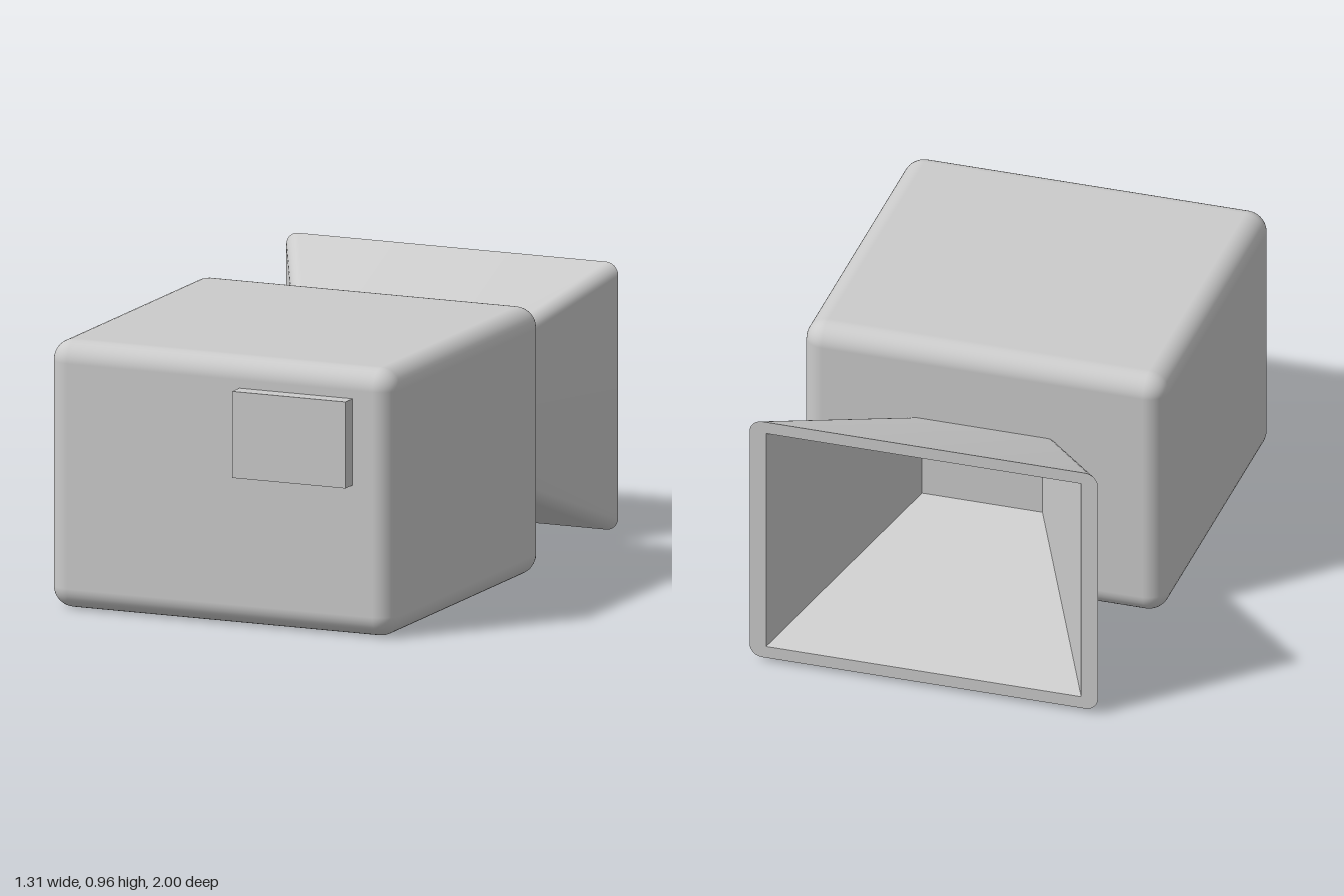
import * as THREE from 'three';
import { RoundedBoxGeometry } from 'three/addons/geometries/RoundedBoxGeometry.js';
import { toCreasedNormals } from 'three/addons/utils/BufferGeometryUtils.js';

// Counter-clockwise rectangle outline with rounded corners (r = 0 gives four points)
function outline(halfW, y0, y1, r = 0, steps = 6) {
  const points = [];
  const corners = [[1, y1 - r], [-1, y1 - r], [-1, y0 + r], [1, y0 + r]];
  corners.forEach(([side, cy], i) => {
    for (let k = 0; k <= (r ? steps : 0); k++) {
      const a = (i + (r ? k / steps : 0)) * Math.PI / 2;
      points.push(new THREE.Vector2(side * (halfW - r) + r * Math.cos(a), cy + r * Math.sin(a)));
    }
  });
  return points;
}

// Walls joining outline a at depth za to outline b at depth zb (outward when za < zb)
function loft(a, za, b, zb) {
  const n = a.length;
  const position = [...a.map(p => [p.x, p.y, za]), ...b.map(p => [p.x, p.y, zb])].flat();
  const index = [];
  for (let i = 0; i < n; i++) {
    const j = (i + 1) % n;
    index.push(i, j, n + j, i, n + j, n + i);
  }
  const geometry = new THREE.BufferGeometry();
  geometry.setAttribute('position', new THREE.Float32BufferAttribute(position, 3));
  geometry.setIndex(index);
  return toCreasedNormals(geometry, 0.6);
}

export function createModel() {
  const model = new THREE.Group();
  const grey = new THREE.MeshStandardMaterial({ color: 0xcccccc });
  const doubleGrey = new THREE.MeshStandardMaterial({ color: 0xcccccc, side: THREE.DoubleSide });
  const add = (parent, name, geometry, material = grey) => {
    const mesh = new THREE.Mesh(geometry, material);
    mesh.name = name;
    parent.add(mesh);
    return mesh;
  };

  // Rounded main body
  add(model, 'body', new RoundedBoxGeometry(1.31, 0.945, 1.26, 5, 0.075))
    .position.set(0, 0.4725, 0.31);

  // Small raised plate on the front
  add(model, 'frontPlate', new THREE.BoxGeometry(0.43, 0.305, 0.08))
    .position.set(0.29, 0.688, 0.96);

  // Hollow flared horn behind the body
  const horn = new THREE.Group();
  horn.name = 'horn';
  model.add(horn);
  const mouthOuter = outline(0.63, 0.015, 0.96, 0.045);
  const neckOuter = outline(0.273, 0.34, 0.65, 0.04);
  const mouthInner = outline(0.57, 0.06, 0.915);
  const neckInner = outline(0.215, 0.355, 0.63);
  add(horn, 'hornOuterWall', loft(mouthOuter, -1, neckOuter, -0.315));
  add(horn, 'hornInnerWall', loft(mouthInner, -1, neckInner, -0.315), doubleGrey);

  // Flat rim between the two walls at the mouth
  const rim = new THREE.Shape(mouthOuter);
  rim.holes.push(new THREE.Path(mouthInner));
  add(horn, 'hornRim', new THREE.ShapeGeometry(rim), doubleGrey).position.z = -1;

  return model;
}
